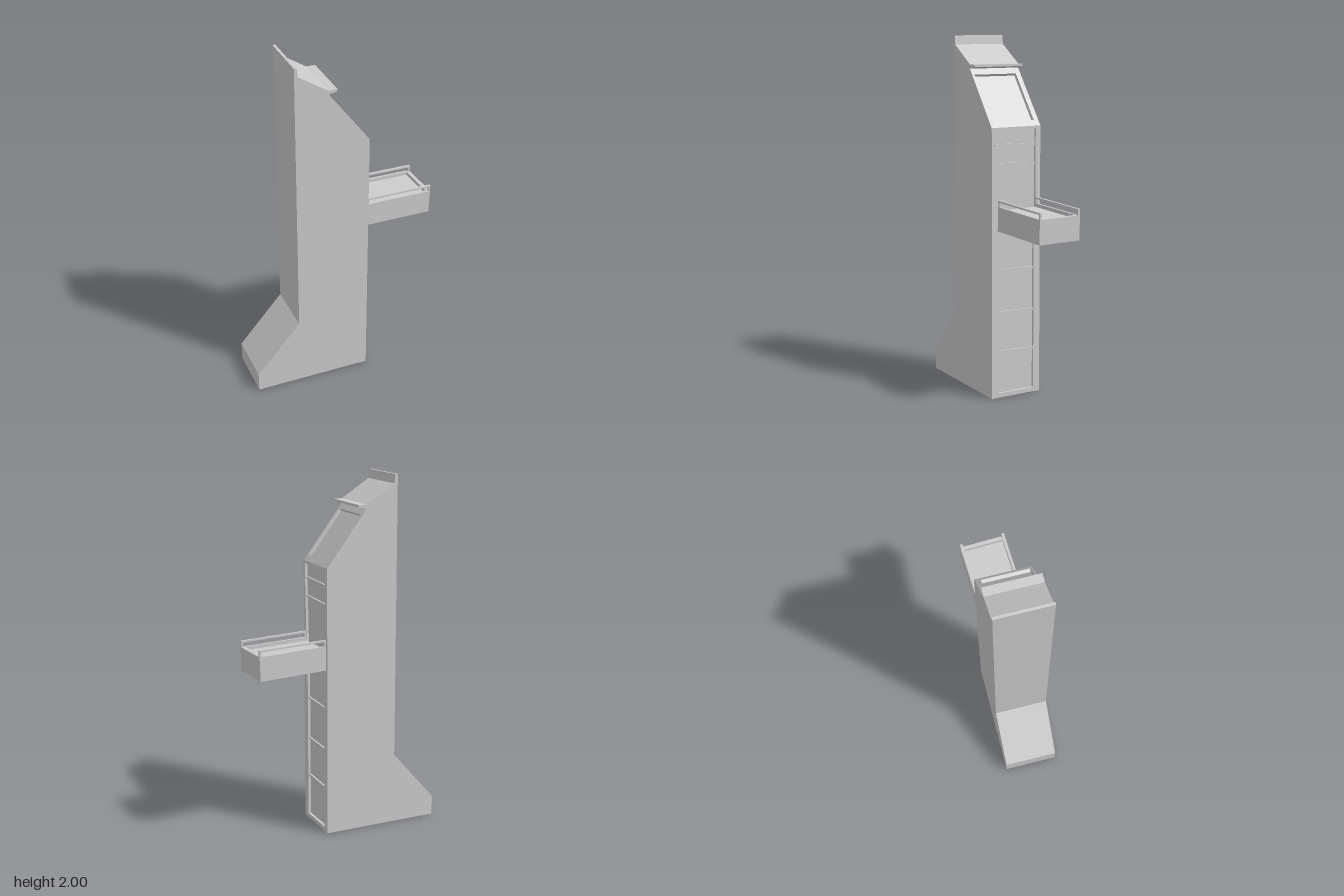
import * as THREE from 'three';

const material = new THREE.MeshStandardMaterial({ color: 0xcccccc, flatShading: true, side: THREE.DoubleSide });

// Extrude an outline of [x, y] points between two z positions
function slab(name, points, z0, z1) {
  const shape = new THREE.Shape(points.map(([x, y]) => new THREE.Vector2(x, y)));
  const geometry = new THREE.ExtrudeGeometry(shape, { depth: z1 - z0, bevelEnabled: false });
  geometry.translate(0, 0, z0);
  const mesh = new THREE.Mesh(geometry, material);
  mesh.name = name;
  return mesh;
}

function box(name, w, h, d, x, y, z) {
  const mesh = new THREE.Mesh(new THREE.BoxGeometry(w, h, d), material);
  mesh.name = name;
  mesh.position.set(x, y, z);
  return mesh;
}

export function createModel() {
  const model = new THREE.Group();
  model.name = 'cabinetTower';

  const face = 0.135, floor = 0.12;
  const back = [[-0.285, 2], [-0.285, 0.405], [-0.54, 0.11], [-0.54, 0]];
  // Back lip, sloping roof and small canopy
  const roof = [[-0.1, 1.822], [-0.05, 1.832], [-0.05, 1.845], [-0.1, 1.845], [-0.265, 1.95], [-0.27, 2]];

  // Full-profile side walls
  const side = [...back, [face, 0], [face, 1.515], ...roof];
  model.add(slab('leftWall', side, 0.14, 0.155));
  model.add(slab('rightWall', side, -0.155, -0.125));

  // Core with recessed front panels and a recessed sloping panel
  const core = [
    ...back, [face, 0], [face, 0.025], [floor, 0.025], [floor, 1.5], [face, 1.5], [face, 1.515],
    [0.112, 1.545], [0.096, 1.533], [-0.091, 1.778], [-0.075, 1.79], ...roof,
  ];
  model.add(slab('core', core, -0.125, 0.14));

  // Frame stiles, wider below the tray
  model.add(box('rightStile', face - floor, 1, 0.01, (face + floor) / 2, 0.5, -0.12));
  const stile = slab('leftStile', [[-0.14, 0], [-0.11, 0], [-0.11, 0.95], [-0.125, 1.1], [-0.14, 1.5]], 0, face - floor);
  stile.rotation.y = Math.PI / 2;
  stile.position.x = floor;
  model.add(stile);

  // Ledges between the panels
  for (const y of [0.26, 0.485, 0.725, 1.312, 1.417]) {
    const ledge = box('panelLedge', 0.012, 0.012, 0.255, floor + 0.004, y, 0.004);
    ledge.rotation.x = -0.025;
    model.add(ledge);
  }

  // Pull-out tray, slightly turned and drooping
  const tray = new THREE.Group();
  tray.name = 'tray';
  const length = 0.395, width = 0.258, wall = 0.014;
  tray.add(box('trayBase', length, 0.115, width, length / 2, 0.0575, 0));
  tray.add(box('trayEnd', 0.022, 0.02, width, length - 0.011, 0.125, 0));
  for (const s of [-1, 1]) {
    const z = s * (width - wall) / 2;
    tray.add(box('trayWall', length - 0.022, 0.02, wall, (length - 0.022) / 2, 0.125, z));
    tray.add(box('rail', length, 0.01, wall, length / 2, 0.165, z));
    for (const x of [0.006, length - 0.006]) tray.add(box('railPost', 0.01, 0.03, wall, x, 0.147, z));
  }
  tray.position.set(0.134, 0.95, -0.008);
  tray.rotation.set(0, 0.04, -0.033);
  model.add(tray);

  return model;
}
